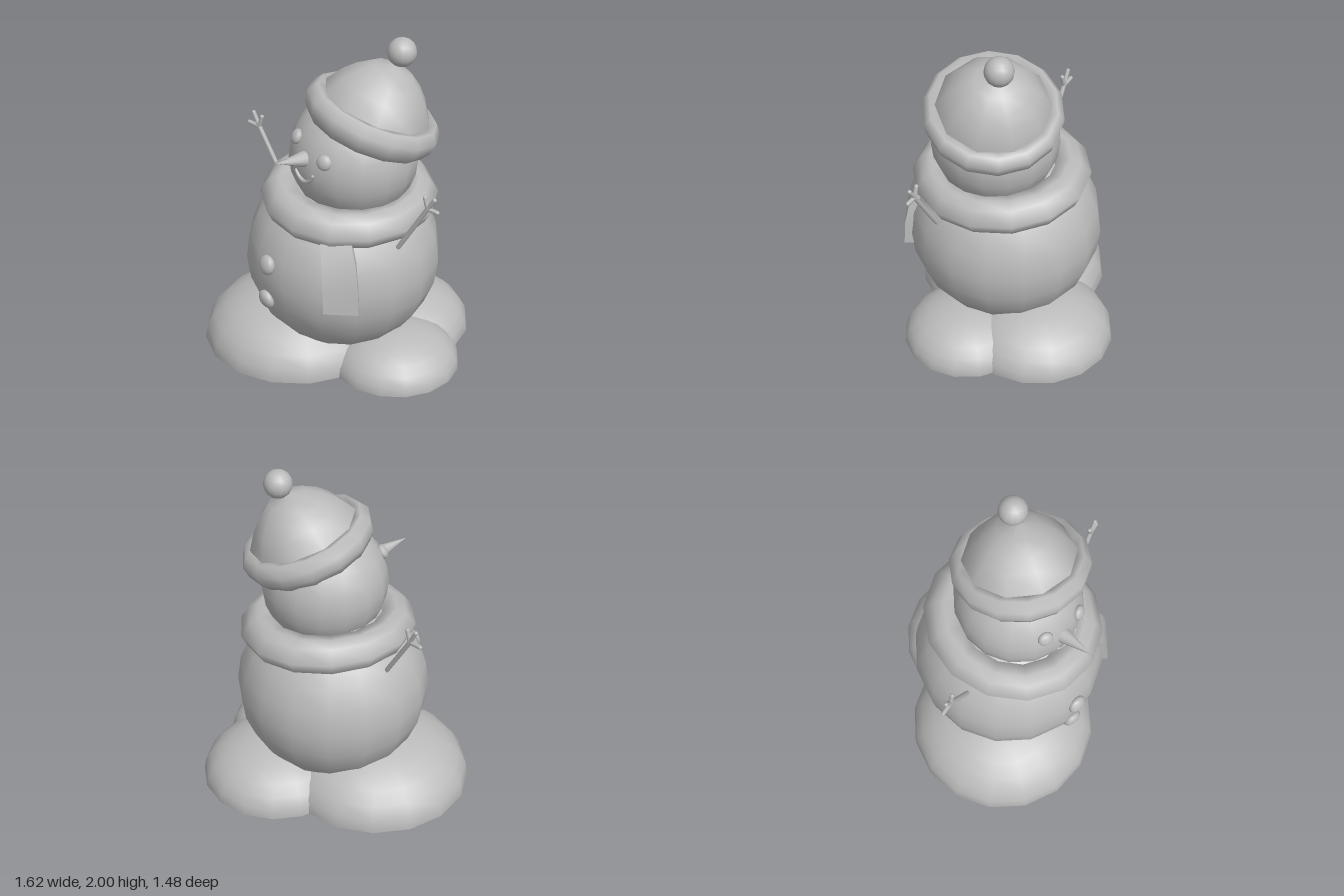
import * as THREE from 'three';

const V = (x, y, z) => new THREE.Vector3(x, y, z);
const UP = V(0, 1, 0);

export function createModel() {
  const group = new THREE.Group();
  group.name = 'snowman';
  const grey = new THREE.MeshStandardMaterial({ color: 0xbbbbbb, side: THREE.DoubleSide });
  grey.name = 'plain grey';

  const add = (name, geometry, position, axis, parent = group) => {
    const mesh = new THREE.Mesh(geometry, grey);
    mesh.name = name;
    if (position) mesh.position.copy(position);
    if (axis) mesh.quaternion.setFromUnitVectors(UP, axis.clone().normalize());
    parent.add(mesh);
    return mesh;
  };
  const lathe = (points, segments) =>
    new THREE.LatheGeometry(points.map(([r, y]) => new THREE.Vector2(r, y)), segments);

  // Body and head
  const bodyC = V(0.02, 0.62, 0.045), bodyR = 0.575;
  const headC = V(0.105, 1.3, 0.055), headR = 0.375;
  add('body', new THREE.SphereGeometry(bodyR, 16, 12), bodyC);
  add('head', new THREE.SphereGeometry(headR, 16, 12), headC);

  // Snow mounds: open domes, without the faces buried in the body or each other
  const mounds = [
    { name: 'frontMound', x: -0.24, z: 0.16, r: 0.575, h: 0.35 },
    { name: 'sideMound', x: 0.42, z: 0.06, r: 0.385, h: 0.24 },
    { name: 'backMound', x: 0.17, z: -0.28, r: 0.46, h: 0.285 },
  ];
  const buried = (p, own) => p.distanceTo(bodyC) < bodyR * 0.96 || mounds.some((m) => m !== own &&
    ((p.x - m.x) / m.r) ** 2 + (p.y / m.h) ** 2 + ((p.z - m.z) / m.r) ** 2 < 0.92);
  for (const m of mounds) {
    const dome = new THREE.SphereGeometry(1, 16, 7, 0, Math.PI * 2, 0, Math.PI / 2);
    dome.scale(m.r, m.h, m.r).translate(m.x, 0, m.z);
    const p = dome.attributes.position, index = dome.index.array, kept = [];
    for (let i = 0; i < index.length; i += 3) {
      const tri = [index[i], index[i + 1], index[i + 2]];
      if (!tri.every((k) => buried(V().fromBufferAttribute(p, k), m))) kept.push(...tri);
    }
    dome.setIndex(kept);
    add(m.name, dome);
  }

  // Scarf ring, slightly tilted
  const ring = lathe([[0.3, -0.09], [0.45, -0.1], [0.5, -0.07], [0.535, 0],
    [0.48, 0.075], [0.42, 0.105], [0.34, 0.09], [0.3, 0], [0.3, -0.09]], 14);
  add('scarf', ring, V(0.065, 1.035, 0.045), V(0.08, 1, 0.04)).scale.set(0.95, 1, 1);

  // Hanging scarf end, bent over the body
  const tail = new THREE.BoxGeometry(0.2, 1, 0.06, 1, 3, 1);
  const yaw = 0.575;
  const rows = [[0.28, 0.95, 0.45, 0.88], [0.325, 0.84, 0.485, 0.96],
    [0.35, 0.7, 0.505, 1], [0.36, 0.55, 0.51, 1]];
  const tp = tail.attributes.position;
  for (let i = 0; i < tp.count; i++) {
    const [cx, cy, cz, w] = rows[Math.round((0.5 - tp.getY(i)) * 3)];
    const p = V(tp.getX(i) * w, 0, tp.getZ(i)).applyAxisAngle(UP, yaw);
    tp.setXYZ(i, cx + p.x, cy, cz + p.z);
  }
  tail.computeVertexNormals();
  add('scarfEnd', tail);

  // Hat: dome, rolled brim and pompom on a leaning axis
  const hat = new THREE.Group();
  hat.name = 'hat';
  hat.position.set(0.195, 1.53, 0.01);
  hat.quaternion.setFromUnitVectors(UP, V(0.29, 1, -0.26).normalize());
  group.add(hat);
  add('hatDome', lathe([[0.34, 0], [0.325, 0.09], [0.26, 0.19], [0.2, 0.255],
    [0.12, 0.315], [0, 0.345]], 10), null, null, hat);
  add('hatBrim', lathe([[0.29, -0.075], [0.355, -0.08], [0.39, -0.03], [0.4, 0.035],
    [0.36, 0.09], [0.3, 0.085], [0.28, 0], [0.29, -0.075]], 14), null, null, hat);
  add('pompom', new THREE.SphereGeometry(0.084, 14, 10), V(0.31, 1.917, -0.11));

  // Flattened round pieces set on a ball
  const stud = (name, x, y, c, ballR, r, thick) => {
    const out = V(x - c.x, y - c.y, 0);
    out.z = Math.sqrt(ballR * ballR - out.lengthSq());
    const mesh = add(name, new THREE.SphereGeometry(r, 12, 8), c.clone().add(out), out);
    mesh.scale.y = thick / r;
  };
  stud('rightEye', -0.083, 1.458, headC, headR, 0.046, 0.028);
  stud('leftEye', 0.167, 1.4, headC, headR, 0.046, 0.028);
  stud('upperButton', -0.11, 0.73, bodyC, bodyR, 0.06, 0.035);
  stud('lowerButton', -0.13, 0.485, bodyC, bodyR, 0.06, 0.035);

  // Nose
  const noseDir = V(-0.04, 0.045, 0.22);
  add('nose', new THREE.ConeGeometry(0.053, 0.23, 10), V(0.0, 1.39, 0.485), noseDir);

  // Smile following the head
  const smile = [[-0.04, 1.285], [-0.01, 1.255], [0.03, 1.243], [0.075, 1.262], [0.1, 1.3]]
    .map(([x, y]) => V(x, y, headC.z +
      Math.sqrt(headR ** 2 - (x - headC.x) ** 2 - (y - headC.y) ** 2)));
  add('smile', new THREE.TubeGeometry(new THREE.CatmullRomCurve3(smile), 12, 0.011, 6));
  for (const end of [smile[0], smile[4]]) add('smileEnd', new THREE.SphereGeometry(0.011, 6, 5), end);

  // Twig arms: one stick and three fingers each
  const stick = (name, a, b, r) => {
    const d = b.clone().sub(a);
    add(name, new THREE.CapsuleGeometry(r, d.length(), 3, 8), a.clone().add(b).multiplyScalar(0.5), d);
  };
  const arm = (side, z, start, fork, tips) => {
    const at = ([x, y]) => V(x, y, z);
    stick(side + 'Arm', at(start), at(fork), 0.014);
    for (const tip of tips) stick(side + 'Finger', at(fork), at(tip), 0.013);
  };
  arm('right', 0.04, [-0.41, 0.9], [-0.614, 1.243], [[-0.655, 1.325], [-0.592, 1.312], [-0.692, 1.25]]);
  arm('left', 0.19, [0.52, 0.885], [0.71, 1.196], [[0.69, 1.26], [0.752, 1.262], [0.772, 1.192]]);

  return group;
}
